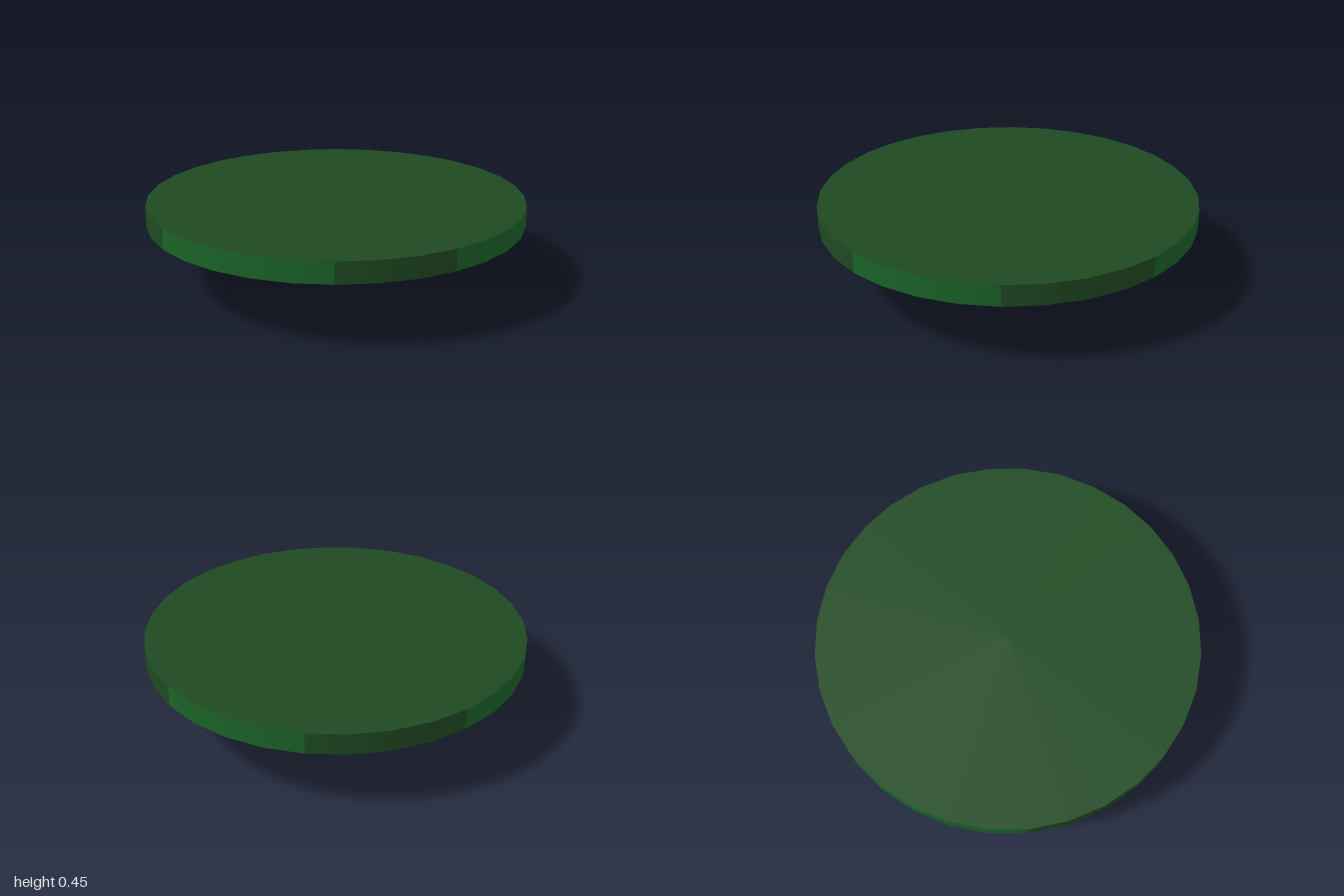
import * as THREE from 'three';

const SIDES = 32;
const STEP = (Math.PI * 2) / SIDES;
const RADIUS = 1, BASE_RADIUS = 0.09, RIM_Y = 0.34, TOP_Y = 0.45;

export function createModel() {
  const group = new THREE.Group();
  group.name = 'coneDisc';
  const dark = new THREE.MeshStandardMaterial({ color: 0x1f4a22 });
  const bright = new THREE.MeshStandardMaterial({ color: 0x1a6428 });

  const add = (name, geometry, material, y) => {
    const mesh = new THREE.Mesh(geometry, material);
    mesh.name = name;
    mesh.position.y = y;
    group.add(mesh);
  };

  // Open wall covering the sides from 'from' to 'to', counted from +x towards +z
  const wall = (rTop, rBottom, height, from, to) => new THREE.CylinderGeometry(
    rTop, rBottom, height, to - from, 1, true, Math.PI / 2 - to * STEP, (to - from) * STEP);

  // Alternating wedges: each has a piece of upright rim and a piece of cone
  const borders = [1, 5, 8, 13, 16, 21, 25, 29, 33];
  for (let i = 0; i < borders.length - 1; i++) {
    const material = i % 2 ? dark : bright;
    const from = borders[i], to = borders[i + 1];
    add(`rimPanel${i + 1}`, wall(RADIUS, RADIUS, TOP_Y - RIM_Y, from, to), material, (TOP_Y + RIM_Y) / 2);
    add(`conePanel${i + 1}`, wall(RADIUS, BASE_RADIUS, RIM_Y, from, to), material, RIM_Y / 2);
  }

  // Flat top and small flat foot
  add('topDisc', new THREE.CircleGeometry(RADIUS, SIDES).rotateX(-Math.PI / 2), dark, TOP_Y);
  add('footDisc', new THREE.CircleGeometry(BASE_RADIUS, SIDES).rotateX(Math.PI / 2), dark, 0);
  return group;
}
